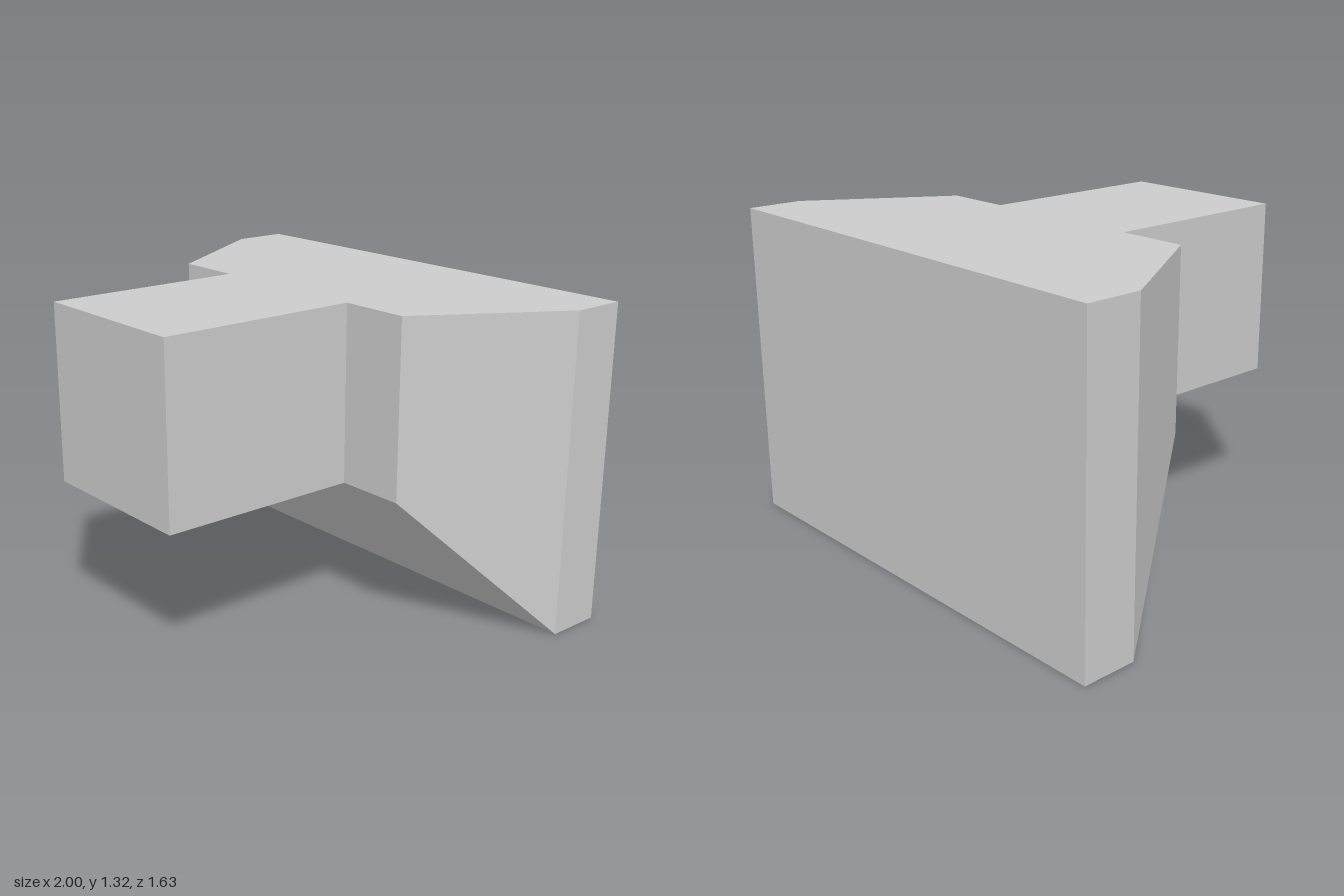
import * as THREE from 'three';

const TOP = 1.315, LEDGE = 0.595;      // shared top level, underside of the narrow end
const BACK = -0.815, SHOULDER = -0.585, NECK = -0.02, FRONT = 0.815;

const grey = () => new THREE.MeshStandardMaterial({ color: 0xcccccc, flatShading: true });

// Block whose rectangular sections [z, halfWidth, bottom] run from back to front under a level top
function taperedBlock(name, sections) {
  const n = sections.length - 1;
  const box = new THREE.BoxGeometry(2, 1, n, 1, 1, n);
  const p = box.attributes.position;
  for (let i = 0; i < p.count; i++) {
    const [z, halfWidth, bottom] = sections[Math.round(p.getZ(i) + n / 2)];
    p.setXYZ(i, Math.sign(p.getX(i)) * halfWidth, p.getY(i) > 0 ? TOP : bottom, z);
  }
  const geometry = box.toNonIndexed();
  geometry.computeVertexNormals();
  const mesh = new THREE.Mesh(geometry, grey());
  mesh.name = name;
  return mesh;
}

export function createModel() {
  const group = new THREE.Group();
  group.name = 'taperedBracket';

  // Wide back plate that narrows at the sides and underneath towards the neck
  group.add(taperedBlock('backPlate', [
    [BACK, 1, 0],
    [SHOULDER, 1, 0],
    [NECK, 0.65, LEDGE],
  ]));

  // Straight square arm projecting forward
  group.add(taperedBlock('frontArm', [
    [NECK, 0.36, LEDGE],
    [FRONT, 0.36, LEDGE],
  ]));

  return group;
}
